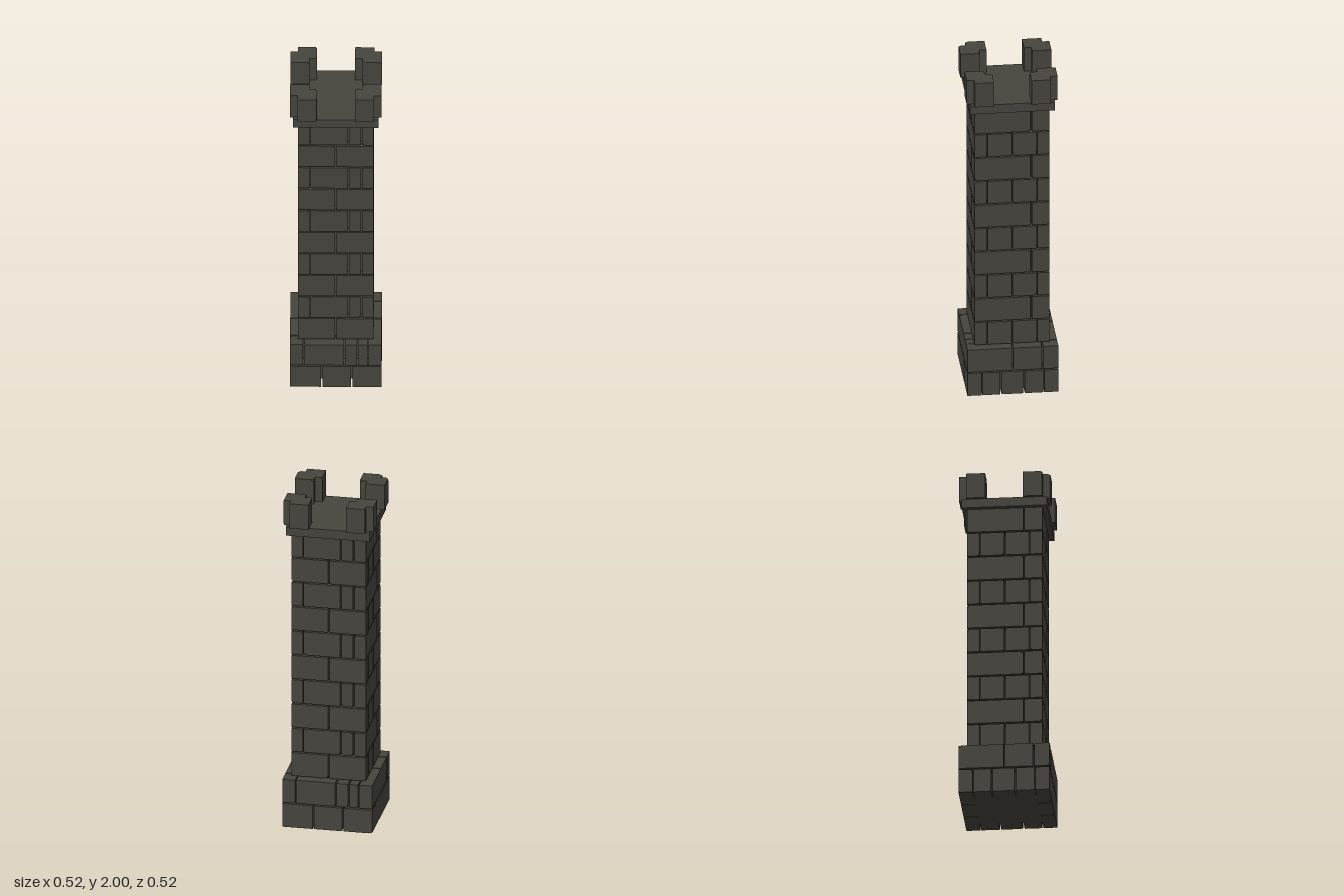
import * as THREE from 'three';
import { ConvexGeometry } from 'three/addons/geometries/ConvexGeometry.js';

const stone = new THREE.MeshStandardMaterial({ color: 0x45443d });
stone.name = 'darkStone';

// Small seeded generator for chipped brick corners
let seed = 7;
const rand = () => (seed = (seed * 16807) % 2147483647) / 2147483647;

// Stone block between two corners; some of its eight corners are chipped off
function block(name, x0, x1, y0, y1, z0, z1, chance = 0.15) {
  const pts = [];
  for (const [x, dx] of [[x0, 1], [x1, -1]])
    for (const [y, dy] of [[y0, 1], [y1, -1]])
      for (const [z, dz] of [[z0, 1], [z1, -1]]) {
        if (rand() < chance) {
          const c = () => 0.006 + rand() * 0.012;
          pts.push(new THREE.Vector3(x + dx * c(), y, z), new THREE.Vector3(x, y + dy * c(), z),
            new THREE.Vector3(x, y, z + dz * c()));
        } else pts.push(new THREE.Vector3(x, y, z));
      }
  const mesh = new THREE.Mesh(new ConvexGeometry(pts), stone);
  mesh.name = name;
  return mesh;
}

// Plain centred square slab
function slab(name, half, y0, y1) {
  const mesh = new THREE.Mesh(new THREE.BoxGeometry(half * 2, y1 - y0, half * 2), stone);
  mesh.position.y = (y0 + y1) / 2;
  mesh.name = name;
  return mesh;
}

// One ring of bricks: joints listed along the front (x) and the right side (z);
// the opposite sides repeat them turned by half a circle
function course(name, y, half, depth, front, right) {
  const g = new THREE.Group();
  g.name = name;
  const gap = 0.004;
  for (const turn of [0, Math.PI]) {
    const side = new THREE.Group();
    side.name = turn ? 'backAndLeftBricks' : 'frontAndRightBricks';
    const inner = half - depth;
    for (let i = 0; i < front.length - 1; i++)
      side.add(block('frontBrick', front[i] + (i ? gap : 0), front[i + 1] - (i < front.length - 2 ? gap : 0),
        y + 0.004, y + 0.146, inner, half));
    for (let i = 0; i < right.length - 1; i++)
      side.add(block('sideBrick', inner, half, y + 0.004, y + 0.146,
        right[i] + (i ? gap : 0), right[i + 1] - (i < right.length - 2 ? gap : 0)));
    side.rotation.y = turn;
    g.add(side);
  }
  return g;
}

export function createModel() {
  const tower = new THREE.Group();
  tower.name = 'stoneTower';

  // Solid cores behind the joints
  tower.add(slab('baseCore', 0.18, 0.004, 0.296), slab('shaftCore', 0.168, 0.29, 1.8));

  // Wide two-course base
  tower.add(course('lowerBaseCourse', 0, 0.26, 0.08,
    [-0.26, -0.08, 0.09, 0.26], [-0.175, -0.065, 0.07, 0.175]));
  tower.add(course('upperBaseCourse', 0.15, 0.26, 0.075,
    [-0.18, 0.05, 0.125, 0.18], [-0.26, -0.17, 0, 0.26]));

  // Shaft with alternating courses
  for (let i = 0; i < 10; i++) {
    const y = 0.3 + i * 0.15;
    tower.add(i % 2 === 0
      ? course('shaftCourse', y, 0.215, 0.07, [-0.215, 0, 0.215], [-0.14, 0, 0.14])
      : course('shaftCourse', y, 0.215, 0.065, [-0.145, 0.07, 0.14], [-0.215, -0.11, 0.215]));
  }

  // Platform
  tower.add(slab('platform', 0.243, 1.795, 1.85));

  // Corner merlons, each made of two staggered blocks
  for (const sx of [-1, 1]) {
    for (const sz of [-1, 1]) {
      const merlon = new THREE.Group();
      merlon.name = 'cornerMerlon';
      const span = (s, a, b) => (s > 0 ? [a, b] : [-b, -a]);
      merlon.add(block('merlonBlock', ...span(sx, 0.108, 0.218), 1.848, 2, ...span(sz, 0.15, 0.26), 0.25));
      merlon.add(block('merlonBlock', ...span(sx, 0.15, 0.26), 1.848, 2, ...span(sz, 0.108, 0.218), 0.25));
      tower.add(merlon);
    }
  }
  return tower;
}
